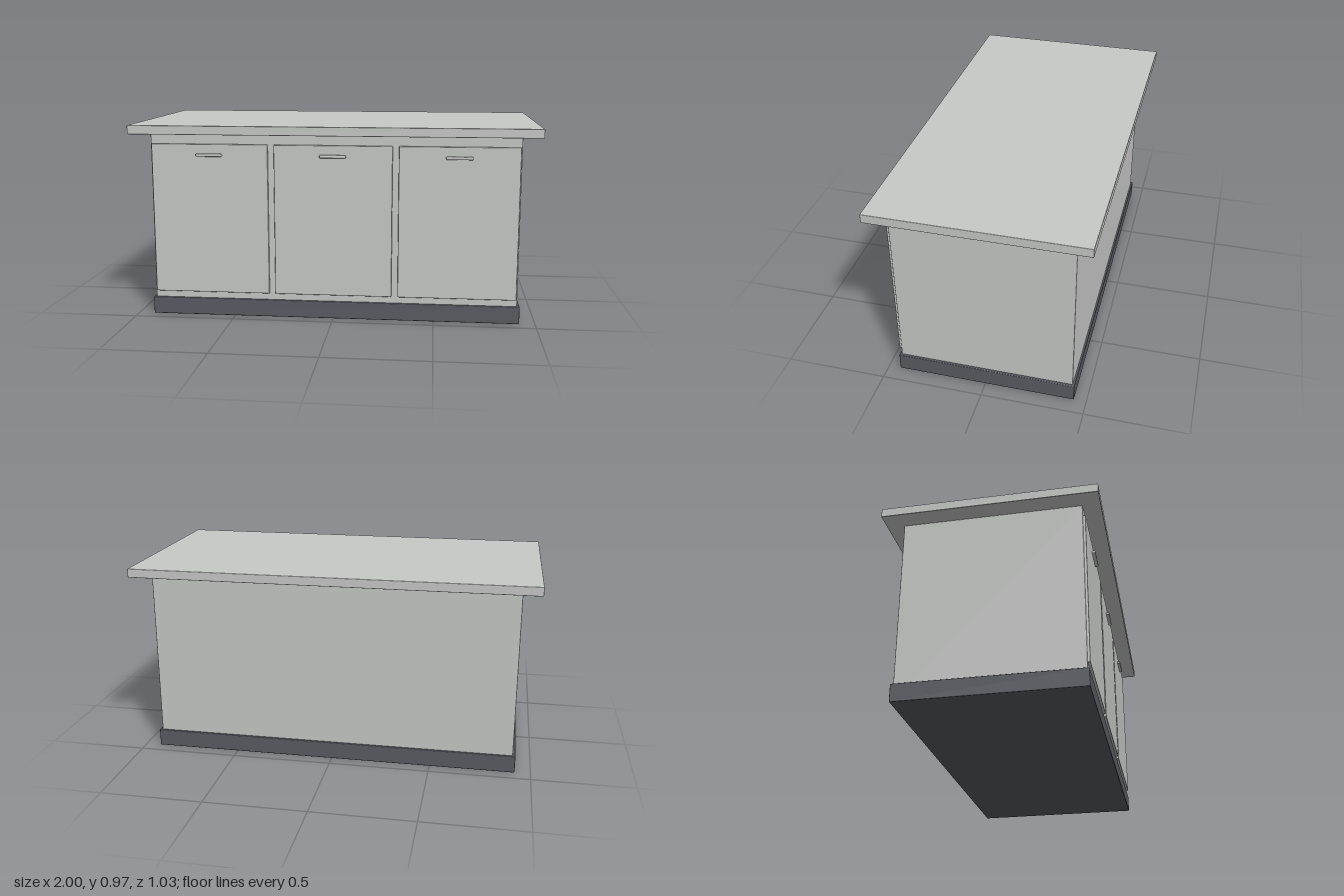
import * as THREE from 'three';
import { RoundedBoxGeometry } from 'three/addons/geometries/RoundedBoxGeometry.js';

const lightGrey = new THREE.MeshStandardMaterial({ color: 0xc8cac8 });
lightGrey.name = 'light grey';
const darkGrey = new THREE.MeshStandardMaterial({ color: 0x5a5c64 });
darkGrey.name = 'dark grey';

// Box with slightly softened edges, placed by its lower y and its back z
function block(name, material, width, height, depth, x, y0, z0, radius = 0.004) {
  const mesh = new THREE.Mesh(new RoundedBoxGeometry(width, height, depth, 2, radius), material);
  mesh.name = name;
  mesh.position.set(x, y0 + height / 2, z0 + depth / 2);
  return mesh;
}

export function createModel() {
  const model = new THREE.Group();
  model.name = 'kitchenIsland';

  // Plinth, cabinet body and overhanging worktop
  model.add(block('plinth', darkGrey, 1.845, 0.087, 0.88, 0, 0, -0.44));
  model.add(block('cabinetBody', lightGrey, 1.82, 0.922, 0.86, 0, 0.003, -0.43));
  model.add(block('worktop', lightGrey, 2, 0.044, 1.03, 0, 0.925, -0.515, 0.003));

  // Three doors, each with a small bar handle near its top
  for (const x of [-0.613, 0, 0.613]) {
    const door = new THREE.Group();
    door.name = 'door';
    door.position.x = x;
    door.add(block('doorPanel', lightGrey, 0.583, 0.753, 0.017, 0, 0.12, 0.425));
    door.add(block('handle', lightGrey, 0.13, 0.015, 0.018, 0, 0.812, 0.44, 0.005));
    model.add(door);
  }
  return model;
}
